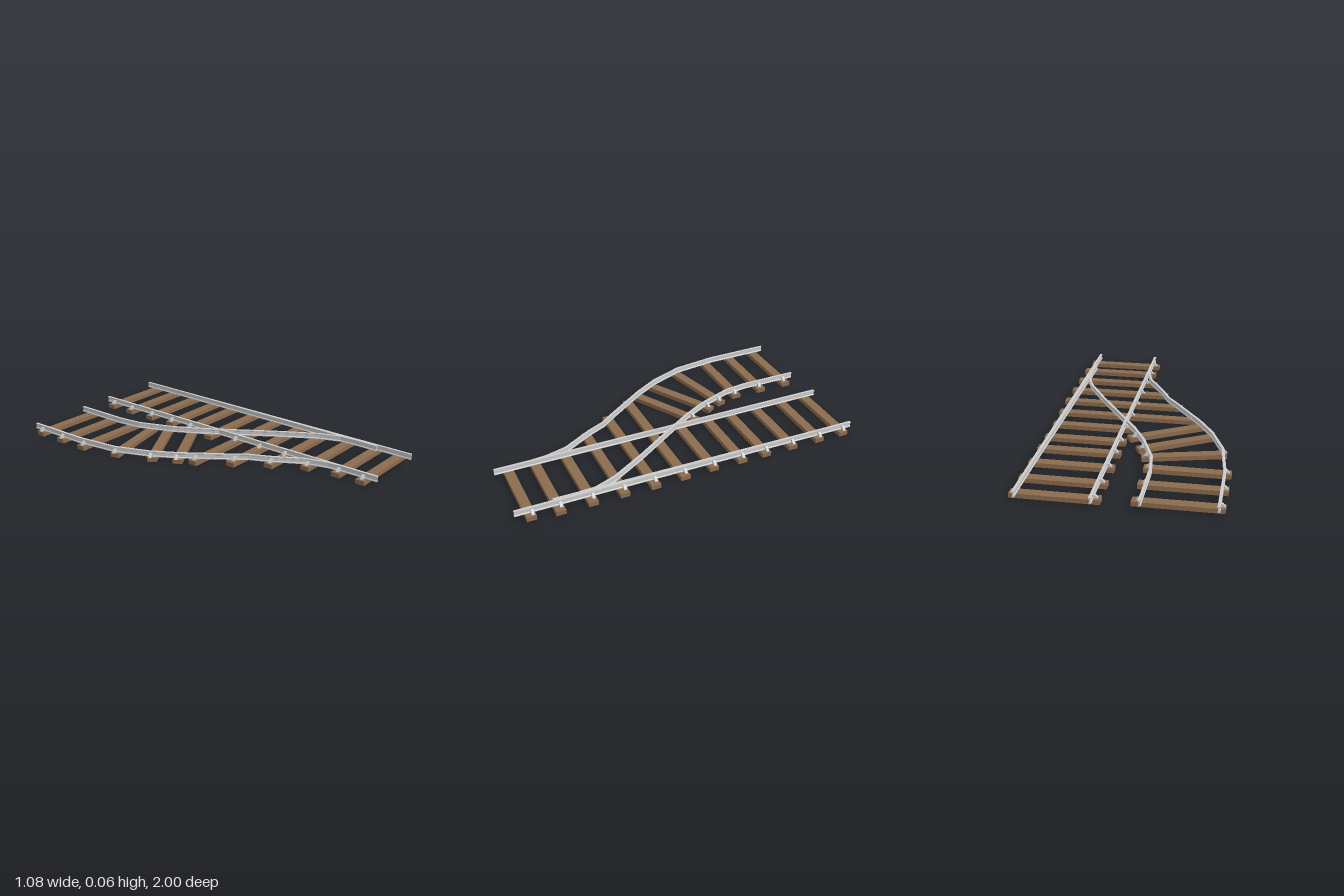
import * as THREE from 'three';

const TIE_H = 0.025, RAIL_H = 0.033;
const steel = new THREE.MeshStandardMaterial({ color: 0xcccccc, flatShading: true });
const wood = new THREE.MeshStandardMaterial({ color: 0x8b6b4e, flatShading: true });

// I-shaped rail section, counter-clockwise, standing on v = 0
const half = [[0.0065, 0], [0.0065, 0.004], [0.003, 0.008], [0.003, 0.024], [0.0075, 0.027], [0.0075, RAIL_H]];
const section = [...half, ...half.map(([u, v]) => [-u, v]).reverse()].map(p => new THREE.Vector2(...p));

// Sweep the section along a mitred [x, z] polyline
function railGeometry(path) {
  const dir = (a, b) => new THREE.Vector2(b[0] - a[0], b[1] - a[1]).normalize();
  const rings = path.map((p, i) => {
    const d0 = dir(path[Math.max(i - 1, 0)], path[Math.max(i, 1)]);
    const last = path.length - 1;
    const d1 = dir(path[Math.min(i, last - 1)], path[Math.min(i + 1, last)]);
    const t = d0.clone().add(d1).normalize();
    const k = 1 / t.dot(d0);
    return section.map(s => [p[0] + t.y * s.x * k, TIE_H + s.y, p[1] - t.x * s.x * k]);
  });
  const pos = [], n = section.length;
  const tri = (a, b, c) => pos.push(...a, ...b, ...c);
  for (let i = 0; i < rings.length - 1; i++) {
    for (let j = 0; j < n; j++) {
      const k = (j + 1) % n, A = rings[i], B = rings[i + 1];
      tri(A[j], A[k], B[j]);
      tri(A[k], B[k], B[j]);
    }
  }
  const first = rings[0], end = rings[rings.length - 1];
  for (const [a, b, c] of THREE.ShapeUtils.triangulateShape(section, [])) {
    tri(end[a], end[b], end[c]);
    tri(first[c], first[b], first[a]);
  }
  const g = new THREE.BufferGeometry();
  g.setAttribute('position', new THREE.Float32BufferAttribute(pos, 3));
  g.computeVertexNormals();
  return g;
}

// Rail brace: a concave wedge leaning on the rail's outer side, toe towards -x
function braceGeometry() {
  const s = new THREE.Shape();
  s.moveTo(0.003, 0);
  s.lineTo(0.003, 0.021);
  s.lineTo(-0.004, 0.021);
  s.quadraticCurveTo(-0.015, 0.015, -0.025, 0);
  s.closePath();
  const g = new THREE.ExtrudeGeometry(s, { depth: 0.016, bevelEnabled: false, curveSegments: 4 });
  return g.translate(0, 0, -0.008);
}

// x on a rail path at a given z
function xAt(path, z) {
  for (let i = 0; i < path.length - 1; i++) {
    const [x0, z0] = path[i], [x1, z1] = path[i + 1];
    if (z >= z0 && z <= z1) return x0 + (x1 - x0) * (z - z0) / (z1 - z0);
  }
  return path[0][0];
}

const rails = {
  mainRailRight: [[0.103, -1], [0.1, 1]],
  mainRailLeft: [[0.486, -1], [0.478, 1]],
  switchBlade: [[0.484, -0.65], [0.473, 0.3], [0.465, 0.79]],
  branchRailRight: [[-0.515, -0.985], [-0.512, -0.61], [-0.48, -0.355], [-0.405, -0.16], [-0.32, -0.015],
    [-0.15, 0.225], [-0.092, 0.3], [-0.04, 0.41], [0.06, 0.58], [0.092, 0.7], [0.1, 0.79]],
  branchRailLeft: [[-0.135, -0.985], [-0.135, -0.65], [-0.118, -0.51], [-0.045, -0.317], [0.03, -0.175],
    [0.16, 0.025], [0.293, 0.227], [0.415, 0.43], [0.462, 0.555], [0.473, 0.79]],
};

// Main ties: [z, xMin, xMax]
const mainTies = [
  [-0.935, 0.062, 0.522], [-0.775, 0.062, 0.522], [-0.6, 0.062, 0.522], [-0.43, 0.062, 0.522],
  [-0.28, 0.062, 0.522], [-0.105, 0.042, 0.522], [0.07, -0.302, 0.53], [0.245, -0.187, 0.538],
  [0.42, -0.073, 0.535], [0.595, 0.026, 0.535], [0.77, 0.058, 0.535], [0.92, 0.058, 0.518],
];
// Branch ties: [centre x, centre z, turn in degrees]
const branchTies = [
  [-0.315, -0.92, 0], [-0.315, -0.745, 0], [-0.315, -0.57, 0],
  [-0.275, -0.394, 14], [-0.214, -0.246, 30], [-0.143, -0.116, 29.5],
];

export function createModel() {
  const model = new THREE.Group();
  model.name = 'railwaySwitch';
  const brace = braceGeometry();

  const add = (name, geometry, material, x, y, z, turn = 0) => {
    const m = new THREE.Mesh(geometry, material);
    m.name = name;
    m.position.set(x, y, z);
    m.rotation.y = turn;
    model.add(m);
  };
  const addTie = (x, z, length, turn) =>
    add('tie', new THREE.BoxGeometry(length, TIE_H, 0.054), wood, x, TIE_H / 2, z, turn);
  const addBrace = (x, z, turn) => add('railBrace', brace, steel, x, TIE_H, z, turn);

  // Rails
  for (const [name, path] of Object.entries(rails)) add(name, railGeometry(path), steel, 0, 0, 0);

  // Main track ties, with braces outside every rail they carry
  for (const [z, x0, x1] of mainTies) {
    addTie((x0 + x1) / 2, z, x1 - x0, 0);
    addBrace(xAt(rails.mainRailRight, z) - 0.003, z, 0);
    addBrace(xAt(rails.mainRailLeft, z) + 0.003, z - 0.012, Math.PI);
    if (z > 0 && z < 0.7) addBrace(xAt(rails.branchRailRight, z) - 0.003, z, 0);
  }

  // Branch ties, turned to follow the curve
  for (const [x, z, degrees] of branchTies) {
    const turn = THREE.MathUtils.degToRad(degrees);
    addTie(x, z, 0.458, turn);
    for (const side of [-1, 1]) {
      const bz = z - side * 0.195 * Math.sin(turn);
      const path = side < 0 ? rails.branchRailRight : rails.branchRailLeft;
      addBrace(xAt(path, bz) + side * 0.003, bz, turn + (side > 0 ? Math.PI : 0));
    }
  }
  return model;
}
